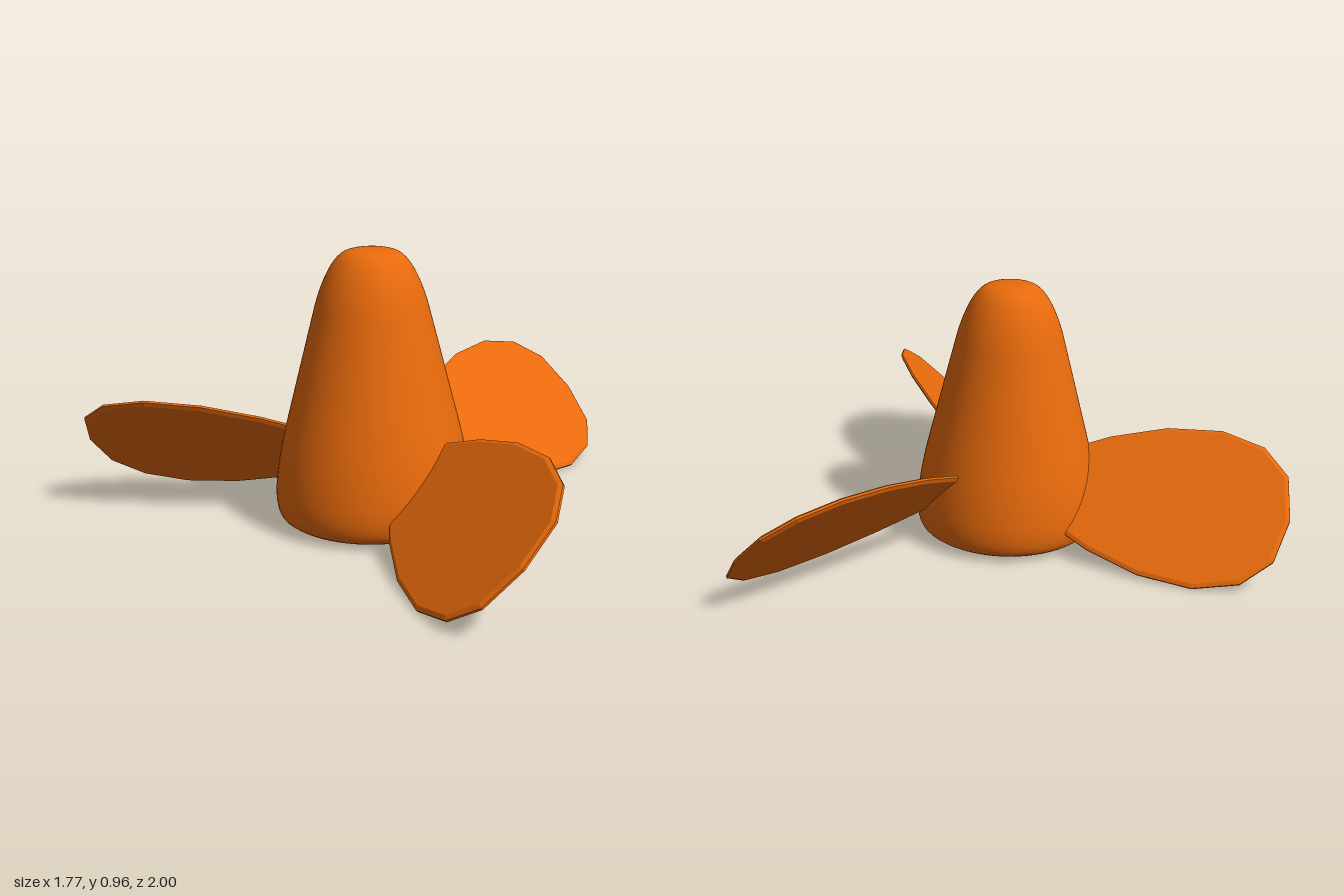
import * as THREE from 'three';

const orange = new THREE.MeshStandardMaterial({ color: 0xe86a0c });
const V = (x, y) => new THREE.Vector2(x, y);

// Tapered hub with a rounded nose and a softly rolled lower rim
function createHub() {
  const side = new THREE.SplineCurve([
    V(0.3, 0.018), V(0.328, 0.04), V(0.34, 0.09), V(0.336, 0.17), V(0.313, 0.3),
    V(0.263, 0.5), V(0.212, 0.7), V(0.182, 0.81), V(0.145, 0.895),
    V(0.105, 0.945), V(0.06, 0.962), V(0, 0.966),
  ]);
  const profile = [V(0, 0.012), V(0.29, 0.013), ...side.getPoints(44)];
  profile[profile.length - 1].x = 0;
  const hub = new THREE.Mesh(new THREE.LatheGeometry(profile, 64), orange);
  hub.name = 'hub';
  hub.position.set(-0.3, 0, -0.02);
  return hub;
}

// Flat faceted paddle: [distance from axis, half width], mirrored about its length
function createBladeGeometry() {
  const half = [
    [0.1, 0.06], [0.255, 0.142], [0.425, 0.225], [0.625, 0.288],
    [0.825, 0.305], [0.985, 0.262], [1.085, 0.163],
  ];
  const outline = [
    ...half.map(([r, w]) => V(r, -w)),
    V(1.117, 0),
    ...half.map(([r, w]) => V(r, w)).reverse(),
  ];
  const geometry = new THREE.ExtrudeGeometry(new THREE.Shape(outline), {
    depth: 0.008, bevelEnabled: true, bevelThickness: 0.007,
    bevelSize: 0.014, bevelOffset: -0.014, bevelSegments: 1,
  });
  geometry.translate(0, 0, -0.004);
  geometry.rotateX(-Math.PI / 4); // blade pitch
  return geometry;
}

export function createModel() {
  const model = new THREE.Group();
  model.name = 'propeller';
  model.add(createHub());

  // Three pitched blades evenly spaced around the shaft
  const blades = new THREE.Group();
  blades.name = 'blades';
  blades.position.set(-0.225, 0.222, 0);
  const geometry = createBladeGeometry();
  for (let i = 0; i < 3; i++) {
    const blade = new THREE.Mesh(geometry, orange);
    blade.name = `blade${i + 1}`;
    blade.rotation.y = (i * Math.PI * 2) / 3;
    blades.add(blade);
  }
  model.add(blades);
  return model;
}
